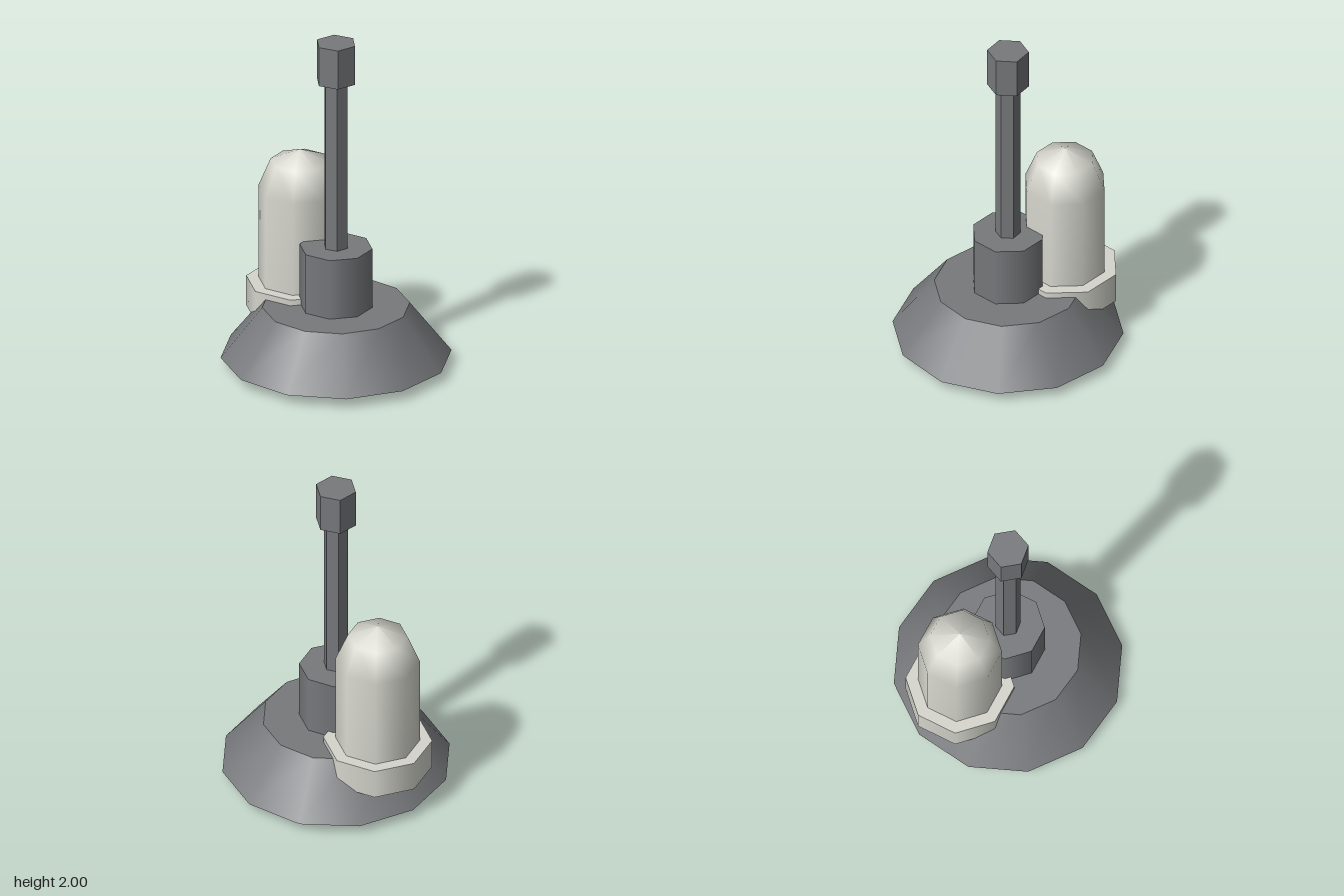
import * as THREE from 'three';

export function createModel() {
  const group = new THREE.Group();
  group.name = 'model';

  const steel = new THREE.MeshStandardMaterial({ color: 0x77797c });
  steel.name = 'darkSteel';
  const cream = new THREE.MeshStandardMaterial({ color: 0xd6d6ce });
  cream.name = 'paleCream';

  // Upright prism or frustum between two heights; flat gives hard side edges
  function prism(name, material, sides, rTop, rBottom, y0, y1, x = 0, flat = false) {
    let geometry = new THREE.CylinderGeometry(rTop, rBottom, y1 - y0, sides);
    if (flat) {
      geometry = geometry.toNonIndexed();
      geometry.computeVertexNormals();
    }
    const mesh = new THREE.Mesh(geometry, material);
    mesh.name = name;
    mesh.position.set(x, (y0 + y1) / 2, 0);
    group.add(mesh);
  }

  // Central spindle: flared base, hub running through it, hexagonal rod and head
  prism('flaredBase', steel, 12, 0.425, 0.665, 0.06, 0.365);
  prism('hub', steel, 8, 0.212, 0.212, 0, 0.73);
  prism('rod', steel, 6, 0.072, 0.072, 0.73, 1.76, 0, true);
  prism('rodHead', steel, 6, 0.12, 0.12, 1.76, 2, 0, true);

  // Side canister: collar and domed body
  const canisterX = -0.36;
  prism('canisterCollar', cream, 8, 0.313, 0.313, 0.215, 0.4, canisterX);

  const r = 0.242, shoulder = 0.97;
  const profile = [new THREE.Vector2(r, 0.22)];
  for (let i = 0; i <= 2; i++) {
    const a = (i / 2) * (Math.PI / 2);
    profile.push(new THREE.Vector2(i === 2 ? 0 : r * Math.cos(a), shoulder + r * Math.sin(a)));
  }
  const body = new THREE.Mesh(new THREE.LatheGeometry(profile, 8), cream);
  body.name = 'canisterBody';
  body.position.x = canisterX;
  group.add(body);

  return group;
}
